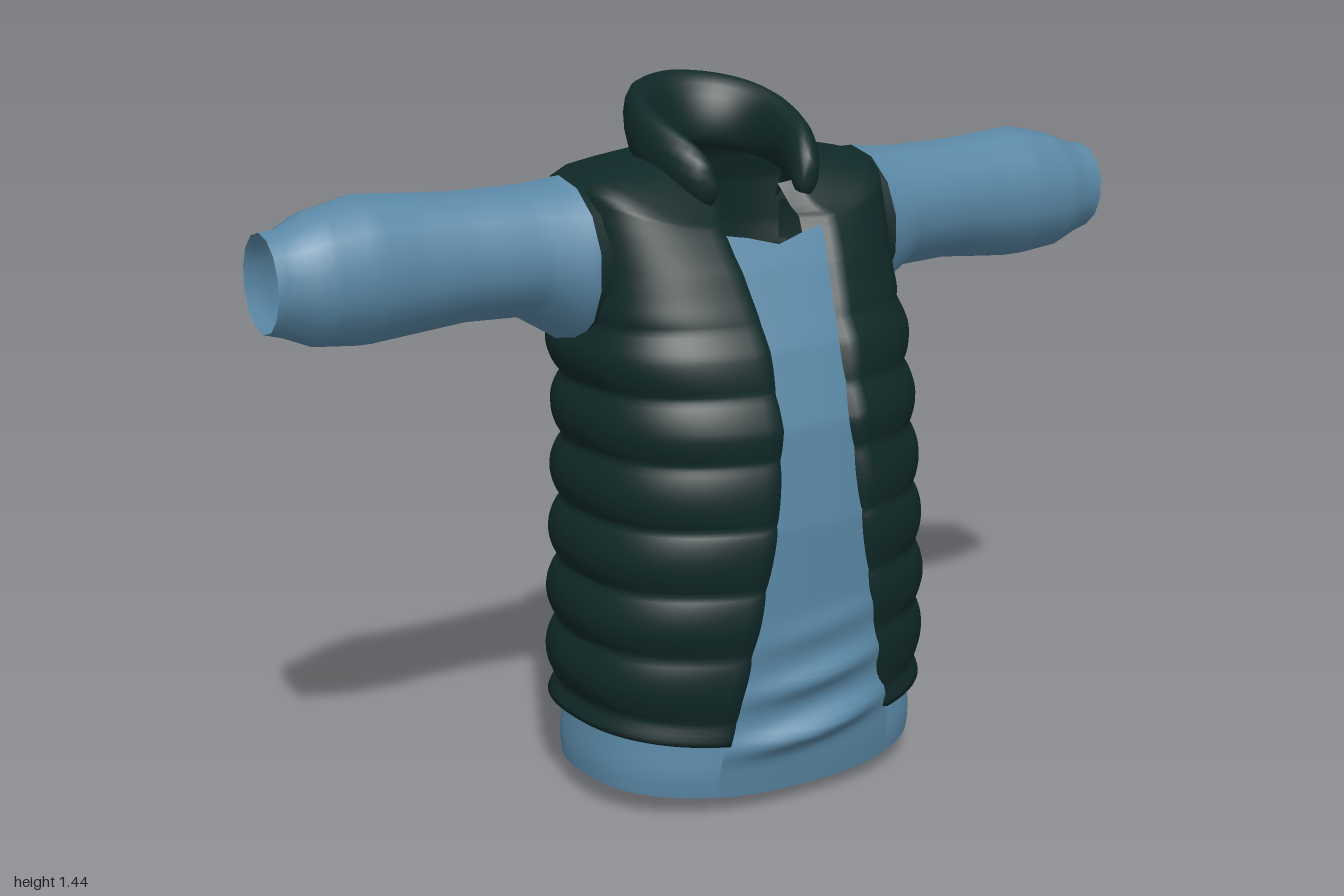
import * as THREE from 'three';
import { mergeVertices } from 'three/addons/utils/BufferGeometryUtils.js';

const material = (name, color) => {
  const m = new THREE.MeshStandardMaterial({ color, side: THREE.DoubleSide });
  m.name = name;
  return m;
};

// Linear lookup in rows whose first entry is the key
function lookup(rows, k) {
  let i = 0;
  while (i < rows.length - 2 && k > rows[i + 1][0]) i++;
  const a = rows[i], b = rows[i + 1];
  const t = THREE.MathUtils.clamp((k - a[0]) / (b[0] - a[0]), 0, 1);
  return a.map((v, j) => v + (b[j] - v) * t);
}

// Smooth surface from fn(u, v) -> [x, y, z]; keep() may leave holes
function surface(nu, nv, fn, keep = () => true) {
  const pos = [], index = [];
  for (let j = 0; j <= nv; j++) for (let i = 0; i <= nu; i++) pos.push(...fn(i / nu, j / nv));
  for (let j = 0; j < nv; j++) for (let i = 0; i < nu; i++) {
    const a = j * (nu + 1) + i, b = a + 1, c = a + nu + 1, d = c + 1;
    const mid = [0, 1, 2].map(k => (pos[a * 3 + k] + pos[d * 3 + k]) / 2);
    if (keep(...mid)) index.push(a, b, d, a, d, c);
  }
  let g = new THREE.BufferGeometry();
  g.setAttribute('position', new THREE.Float32BufferAttribute(pos, 3));
  g.setIndex(index);
  g = mergeVertices(g, 1e-5);
  g.computeVertexNormals();
  return g;
}

// Torso sections: y, half width, front z, back z, middle z, roundness, front drop
const BODY = [
  [0.05, 0.385, 0.27, -0.29, 0.02, 0.85, 0.02],
  [0.18, 0.395, 0.295, -0.31, 0.02, 0.85, 0.02],
  [0.4, 0.39, 0.313, -0.305, 0.02, 0.85, 0],
  [0.6, 0.378, 0.318, -0.293, 0.01, 0.85, 0],
  [0.8, 0.365, 0.3, -0.285, 0, 0.82, 0],
  [0.95, 0.36, 0.258, -0.282, -0.03, 0.75, 0],
  [1.1, 0.355, 0.19, -0.28, -0.07, 0.65, 0],
  [1.2, 0.355, 0.155, -0.272, -0.08, 0.62, 0.04],
  [1.26, 0.35, 0.14, -0.255, -0.08, 0.62, 0.08],
  [1.285, 0.32, 0.13, -0.24, -0.07, 0.7, 0.1],
  [1.3, 0.22, 0.125, -0.23, -0.06, 0.85, 0.12],
  [1.31, 0.14, 0.12, -0.205, -0.05, 1, 0.14],
];
// Half width of the vest opening by height
const OPENING = [[0.15, 0.18], [0.25, 0.155], [0.4, 0.122], [0.6, 0.083], [0.8, 0.06],
  [1, 0.063], [1.15, 0.085], [1.31, 0.1]];

// Point on the torso at angle th (0 = front), pushed out by off
function bodyPoint(y, th, off = 0) {
  const [, w, zf, zb, zc, e, drop] = lookup(BODY, y);
  const s = Math.sin(th), c = Math.cos(th);
  const bend = v => Math.sign(v) * Math.abs(v) ** e;
  const depth = (c > 0 ? zf - zc : zc - zb) + off;
  return [(w + off) * bend(s), y - drop * Math.max(0, c) ** 2, zc + depth * bend(c)];
}
// Angle at which the torso reaches a given x
function angleAt(y, x) {
  const [, w, , , , e] = lookup(BODY, y);
  return Math.sign(x) * Math.asin(Math.min(1, Math.abs(x) / w) ** (1 / e));
}

// Sleeve stations: x, centre y, centre z, half height, half depth
const SLEEVE = [
  [0.27, 1.11, -0.09, 0.168, 0.16],
  [0.36, 1.112, -0.088, 0.168, 0.163],
  [0.4, 1.122, -0.09, 0.152, 0.153],
  [0.46, 1.138, -0.093, 0.132, 0.14],
  [0.6, 1.14, -0.095, 0.13, 0.127],
  [0.7, 1.138, -0.098, 0.138, 0.126],
  [0.8, 1.137, -0.1, 0.146, 0.132],
  [0.9, 1.133, -0.09, 0.13, 0.115],
  [0.96, 1.133, -0.082, 0.104, 0.088],
  [1, 1.137, -0.08, 0.096, 0.08],
];
const sleeve = (side, x0, x1, n) => surface(14, n, (u, v) => {
  const [x, cy, cz, ry, rz] = lookup(SLEEVE, x0 + (x1 - x0) * v);
  const a = u * Math.PI * 2;
  return [side * x, cy + ry * Math.cos(a), cz + rz * Math.sin(a)];
});

export function createModel() {
  const group = new THREE.Group();
  const blue = material('shirt blue', 0x5a88a6);
  const dark = material('vest dark green', 0x0f2827);
  const add = (name, geometry, mat) => {
    const mesh = new THREE.Mesh(geometry, mat);
    mesh.name = name;
    group.add(mesh);
  };

  // Quilted vest, with turned-in hem and front edges and open armholes
  const COLS = 80, ROWS = 120;
  add('vest', surface(COLS, ROWS, (u, v) => {
    const y = 0.185 + 1.125 * Math.max(0, v * ROWS - 1) / (ROWS - 1);
    const start = angleAt(y, lookup(OPENING, y)[1]);
    const th = start + (Math.PI * 2 - 2 * start) * u;
    const edge = Math.min(u, 1 - u) * COLS;
    const front = Math.max(0, Math.cos(th));
    const fade = THREE.MathUtils.smoothstep(1.06 - y, 0, 0.12);
    const puff = Math.abs(Math.sin(Math.PI * (y - 0.35) / 0.13)) ** 0.7;
    let off = (0.028 * puff - 0.01) * fade * (1 - 0.65 * front);
    if (edge < 0.5 || v === 0) off = -0.035;
    const p = bodyPoint(y, th, off);
    if (y < 0.25) p[1] -= 0.012 * front * (0.25 - y) / 0.065;
    return p;
  }, (x, y, z) => Math.abs(x) < 0.24 || Math.hypot(y - 1.11, z + 0.09) > 0.15), dark);

  // Shirt hem all round
  add('shirtHem', surface(64, 8, (u, v) => {
    const y = 0.055 + 0.2 * v;
    return bodyPoint(y, u * Math.PI * 2, -0.022 * THREE.MathUtils.smoothstep(y, 0.08, 0.2));
  }), blue);

  // Shirt front in the vest opening, with folds low down and a V neck
  add('shirtFront', surface(20, 90, (u, v) => {
    const s = u * 2 - 1;
    const xTop = 0.1 * s;
    const y = 0.055 + (1.115 + 0.5 * Math.abs(xTop)) * v;
    const x = s * (lookup(OPENING, y)[1] + 0.03);
    const fold = (at, size) => size * Math.exp(-(((y - at - 0.12 * x) / 0.026) ** 2));
    const folds = fold(0.185, 0.034) + fold(0.285, 0.022) + fold(0.38, 0.008);
    const p = bodyPoint(y, angleAt(y, x), -0.01 * THREE.MathUtils.smoothstep(y, 0.1, 0.25));
    p[2] += folds * Math.exp(-((x / 0.17) ** 2)) + 0.002;
    return p;
  }), blue);

  // Dark underside closing the hem
  add('underside', surface(64, 6, (u, v) => {
    const p = bodyPoint(0.055, u * Math.PI * 2);
    return [p[0] * (1 - v), p[1] + (0.003 - p[1]) * v ** 0.8, p[2] + (0.12 - p[2]) * v];
  }), dark);

  // Armhole bands and sleeves
  for (const [label, side] of [['left', 1], ['right', -1]]) {
    add(label + 'Armhole', sleeve(side, 0.27, 0.36, 3), dark);
    add(label + 'Sleeve', sleeve(side, 0.36, 1, 32), blue);
  }

  // Padded stand-up collar, open at the front
  add('collar', surface(16, 48, (u, v) => {
    const t = v * 2 - 1;
    const phi = t * Math.PI * 0.78, a = u * Math.PI * 2;
    const round = Math.sqrt(Math.max(0, 1 - Math.abs(t) ** 14));
    const quarter = Math.abs(phi) / (Math.PI / 2);
    const back = Math.max(0, Math.cos(phi));
    const high = (0.078 - 0.008 * quarter) * round * Math.cos(a);
    const out = 0.036 * round * Math.sin(a) + high * 0.3 * back;
    const depth = Math.cos(phi) > 0 ? 0.165 : 0.19;
    return [
      (0.158 + out) * Math.sin(phi),
      1.37 - 0.05 * quarter ** 2 + high,
      -0.05 - (depth + out) * Math.cos(phi),
    ];
  }), dark);

  return group;
}
